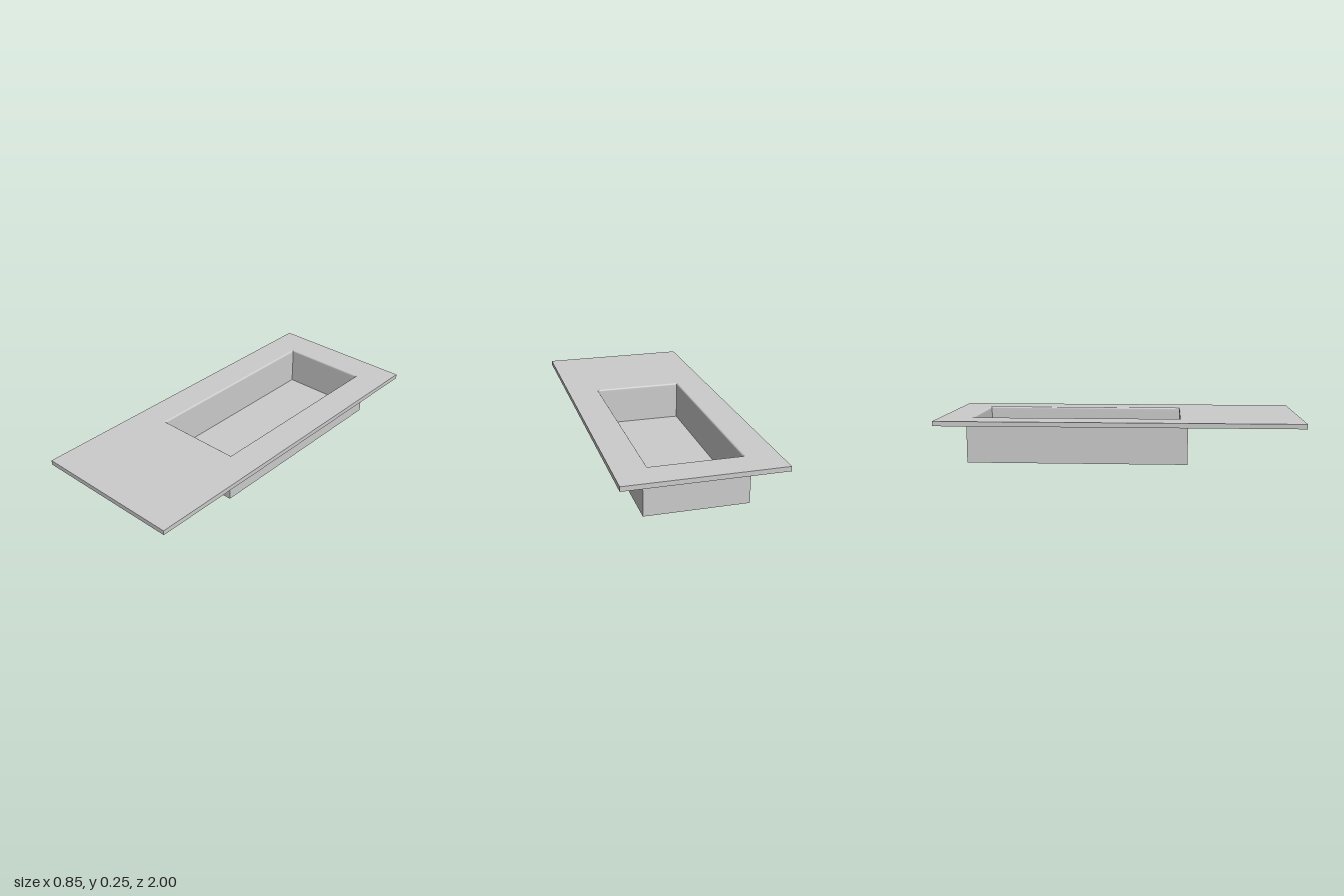
import * as THREE from 'three';

const TOP = 0.251, SLAB_BOTTOM = 0.225, FLOOR = 0.033, LIP = 0.009;
const OPENING = { x: 0.248, z0: -0.818, z1: 0.332 };
const BASIN = { x: 0.279, z0: -0.85, z1: 0.376 };
const SLAB = { x: 0.427, z0: -1, z1: 1 };

const grow = (r, d) => ({ x: r.x + d, z0: r.z0 - d, z1: r.z1 + d });

// Corners counter-clockwise as seen from above, as [x, z]
const corners = (r) => [[r.x, r.z1], [r.x, r.z0], [-r.x, r.z0], [-r.x, r.z1]];

// Rectangular plate with a rectangular hole, between two heights
function frame(outer, hole, y0, y1) {
  const points = (r) => corners(r).map(([x, z]) => new THREE.Vector2(x, -z));
  const shape = new THREE.Shape(points(outer));
  shape.holes.push(new THREE.Path(points(hole).reverse()));
  return new THREE.ExtrudeGeometry(shape, { depth: y1 - y0, bevelEnabled: false })
    .rotateX(-Math.PI / 2)
    .translate(0, y0, 0);
}

// One mitred side of the rounded lip, swept between two neighbouring corners
function lipSide(side) {
  const steps = 4, positions = [], index = [];
  const profile = [];
  for (let i = 0; i <= steps; i++) {
    const a = (i / steps) * Math.PI / 2;
    profile.push([LIP * (1 - Math.sin(a)), TOP - LIP * (1 - Math.cos(a))]);
  }
  profile.push([0, SLAB_BOTTOM]);
  profile.forEach(([offset, y], i) => {
    const c = corners(grow(OPENING, offset));
    for (const [x, z] of [c[side], c[(side + 1) % 4]]) positions.push(x, y, z);
    if (i > 0) {
      const k = 2 * (i - 1);
      index.push(k, k + 1, k + 2, k + 1, k + 3, k + 2);
    }
  });
  const geometry = new THREE.BufferGeometry();
  geometry.setAttribute('position', new THREE.Float32BufferAttribute(positions, 3));
  geometry.setIndex(index);
  geometry.computeVertexNormals();
  return geometry;
}

export function createModel() {
  const model = new THREE.Group();
  model.name = 'countertopSink';
  const material = new THREE.MeshStandardMaterial({ color: 0xcccccc });
  const add = (name, geometry, parent = model) => {
    const mesh = new THREE.Mesh(geometry, material);
    mesh.name = name;
    parent.add(mesh);
    return mesh;
  };

  // Flat top with the basin opening
  add('countertop', frame(SLAB, grow(OPENING, LIP), SLAB_BOTTOM, TOP));

  // Rounded edge around the opening
  const lip = new THREE.Group();
  lip.name = 'openingLip';
  for (let side = 0; side < 4; side++) add('lipSide', lipSide(side), lip);
  model.add(lip);

  // Basin walls and floor
  add('basinWalls', frame(BASIN, OPENING, 0, SLAB_BOTTOM));
  const floor = new THREE.BoxGeometry(2 * OPENING.x, FLOOR, OPENING.z1 - OPENING.z0);
  add('basinFloor', floor).position.set(0, FLOOR / 2, (OPENING.z0 + OPENING.z1) / 2);

  return model;
}
